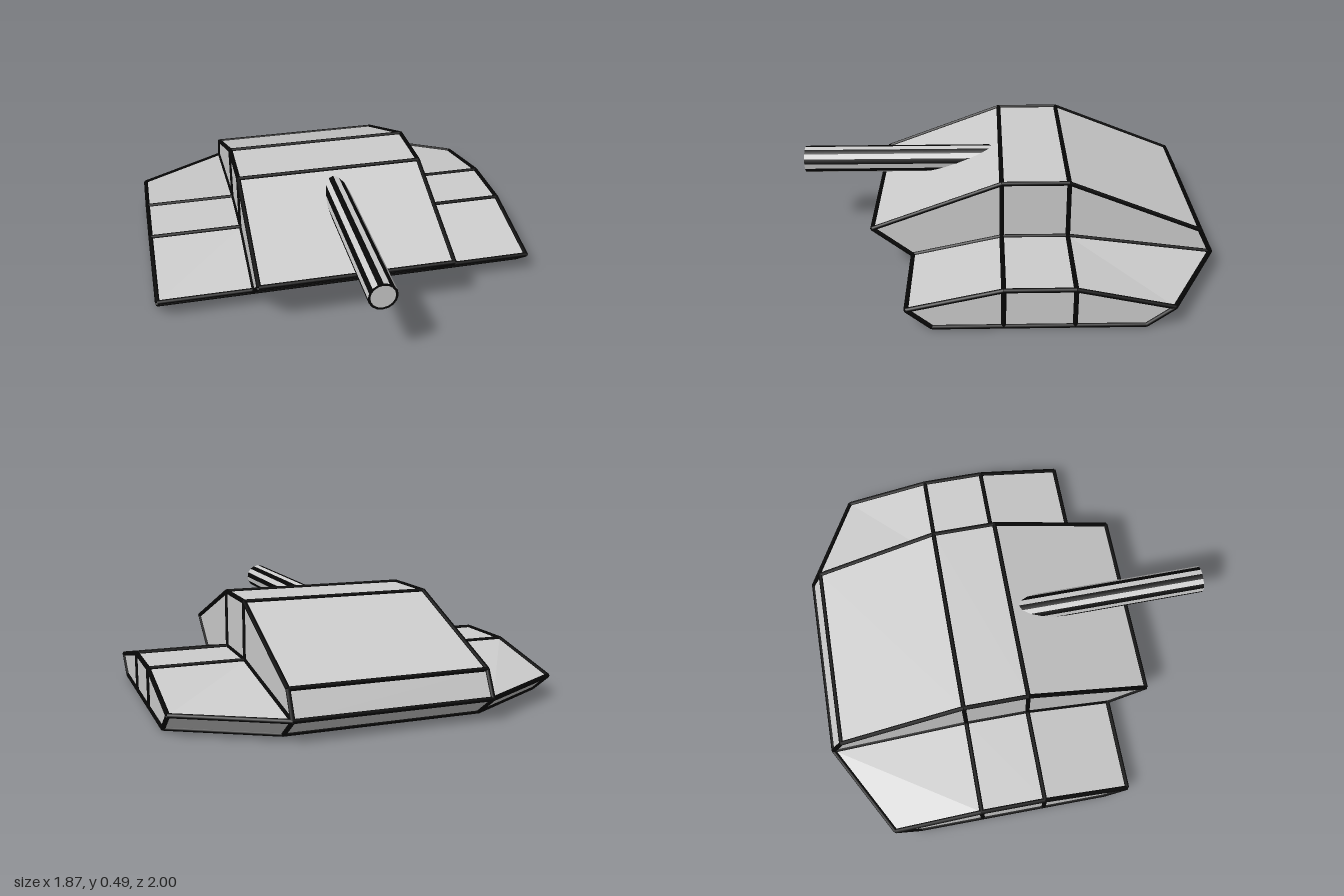
import * as THREE from 'three';

const plate = new THREE.MeshStandardMaterial({ color: 0xcccccc });
plate.name = 'paleGreyPlate';
plate.flatShading = true;
const seam = new THREE.MeshStandardMaterial({ color: 0x060606 });
seam.name = 'blackSeam';

// Closed solid between two matching side profiles, a at the smaller x
function loft(name, a, b) {
  const pos = [];
  const tri = (...points) => points.forEach((p) => pos.push(p.x, p.y, p.z));
  const n = a.length;
  for (let i = 0; i < n; i++) {
    const j = (i + 1) % n;
    tri(a[i], b[i], b[j]);
    tri(a[i], b[j], a[j]);
    if (i > 0 && i < n - 1) {
      tri(a[0], a[i], a[j]);
      tri(b[0], b[j], b[i]);
    }
  }
  const geo = new THREE.BufferGeometry();
  geo.setAttribute('position', new THREE.Float32BufferAttribute(pos, 3));
  geo.computeVertexNormals();
  const mesh = new THREE.Mesh(geo, plate);
  mesh.name = name;
  return mesh;
}

// Thin rod covering the edge from p to q
function strip(p, q, radius = 0.011) {
  const dir = q.clone().sub(p);
  const mesh = new THREE.Mesh(new THREE.CylinderGeometry(radius, radius, dir.length(), 8), seam);
  mesh.position.copy(p).add(q).multiplyScalar(0.5);
  mesh.quaternion.setFromUnitVectors(new THREE.Vector3(0, 1, 0), dir.normalize());
  mesh.name = 'seamStrip';
  return mesh;
}

const profile = (x, points) => points.map(([z, y]) => new THREE.Vector3(x, y, z));

// Strips along every edge of a lofted solid
function edges(group, a, b) {
  a.forEach((p, i) => {
    const j = (i + 1) % a.length;
    group.add(strip(p, b[i]), strip(p, a[j]), strip(b[i], b[j]));
  });
}

export function createModel() {
  const model = new THREE.Group();
  model.name = 'armouredVehicle';
  const seams = new THREE.Group();
  seams.name = 'panelSeams';
  const inner = 0.465, outer = 0.922, base = 0.009;
  const ribs = [0.015, -0.3];

  // Tall central hull
  const hullPoints = [[0.625, 0.245], [0.015, 0.475], [-0.3, 0.475], [-0.93, 0.22],
    [-0.99, 0.1], [-0.87, base], [0.33, base]];
  const hullA = profile(-inner, hullPoints), hullB = profile(inner, hullPoints);
  model.add(loft('centralHull', hullA, hullB));
  edges(seams, hullA, hullB);
  seams.add(strip(new THREE.Vector3(-inner, 0.1, 0.44), new THREE.Vector3(inner, 0.1, 0.44)));

  // Low side hulls with swept-back rear corners
  const podPoints = (rear) => [[0.44, 0.1], [0.015, 0.195], [-0.3, 0.195],
    [rear, 0.1], [rear + 0.12, base], [0.33, base]];
  for (const side of [-1, 1]) {
    const near = profile(side * inner, podPoints(-0.99));
    const far = profile(side * outer, podPoints(-0.735));
    const [a, b] = side < 0 ? [far, near] : [near, far];
    model.add(loft(side < 0 ? 'rightSideHull' : 'leftSideHull', a, b));
    edges(seams, a, b);
    // Upright seams on the sides
    for (const z of ribs) {
      for (const [x, low, high] of [[outer, base, 0.195], [inner, 0.195, 0.475]]) {
        seams.add(strip(new THREE.Vector3(side * x, low, z), new THREE.Vector3(side * x, high, z)));
      }
    }
  }

  // Cross seams on the underside
  for (const z of ribs) {
    seams.add(strip(new THREE.Vector3(-outer, base, z), new THREE.Vector3(outer, base, z), 0.009));
  }
  model.add(seams);

  // Gun barrel with alternating dark and pale facets
  const barrel = new THREE.Group();
  barrel.name = 'gunBarrel';
  const sides = 16, radius = 0.067, length = 0.98;
  const tube = new THREE.CylinderGeometry(radius, radius, length, sides, 1, true);
  tube.clearGroups();
  for (let i = 0; i < sides; i++) tube.addGroup(i * 6, 6, i % 2);
  tube.rotateX(Math.PI / 2);
  const barrelTube = new THREE.Mesh(tube, [seam, plate]);
  barrelTube.name = 'barrelTube';
  const muzzle = new THREE.Mesh(new THREE.CircleGeometry(0.056, sides), plate);
  muzzle.name = 'muzzleFace';
  muzzle.position.z = length / 2;
  const rim = new THREE.Mesh(new THREE.RingGeometry(0.056, radius, sides), seam);
  rim.name = 'muzzleRim';
  rim.position.z = length / 2;
  barrel.add(barrelTube, muzzle, rim);
  barrel.position.set(0.007, 0.392, 1 - length / 2);
  model.add(barrel);

  return model;
}
